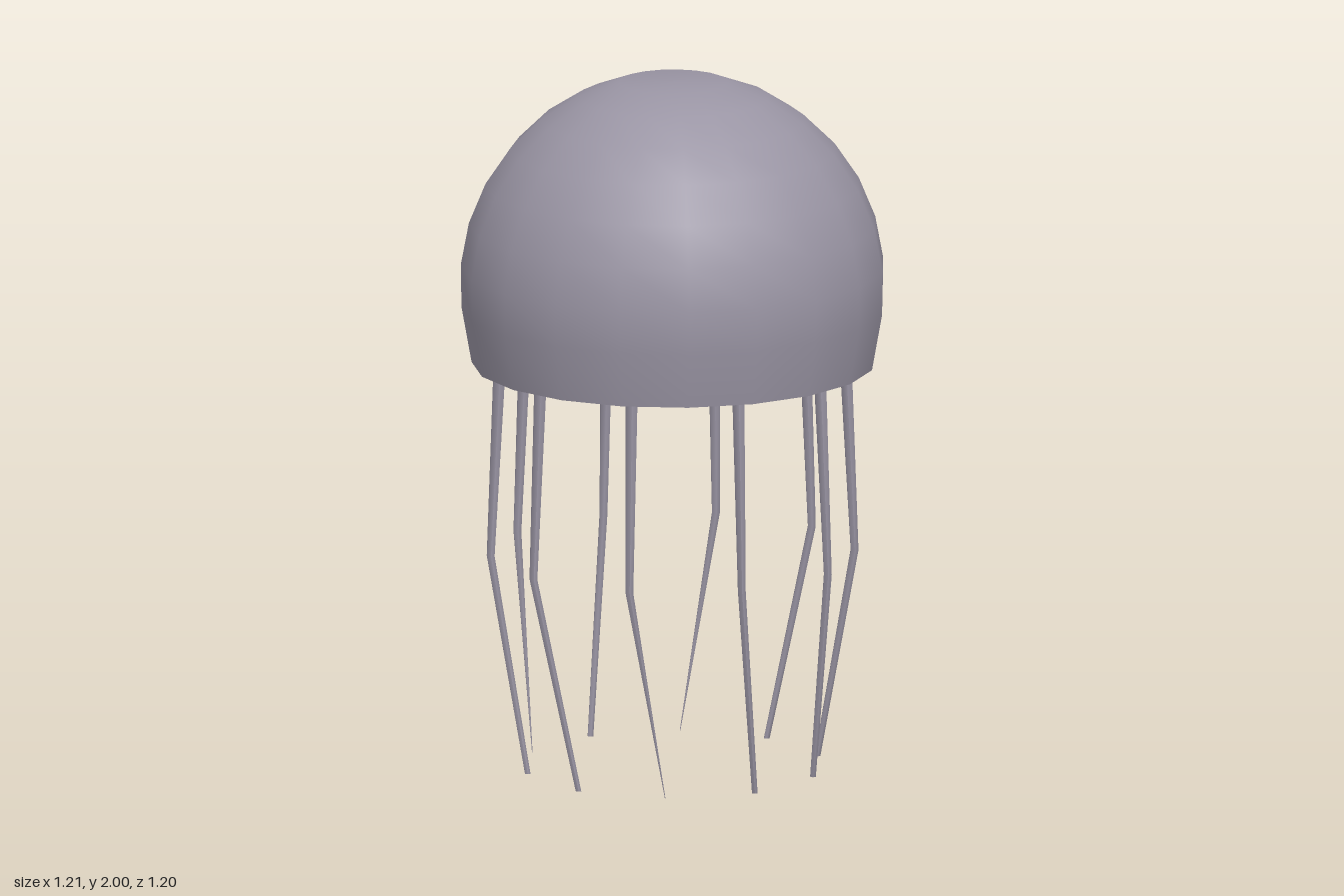
import * as THREE from 'three';

const SIDES = 19;
const AXIS_X = -0.006;

function lathe(name, points, material) {
  const geometry = new THREE.LatheGeometry(points.map(([r, y]) => new THREE.Vector2(r, y)), SIDES);
  const mesh = new THREE.Mesh(geometry, material);
  mesh.name = name;
  mesh.position.x = AXIS_X;
  return mesh;
}

// Tapered tube bent once: each section is [x, y, z, radius], listed from the tip upwards.
function bentTube(sections) {
  const geometry = new THREE.CylinderGeometry(1, 1, 2, 6, 2);
  const p = geometry.attributes.position;
  for (let i = 0; i < p.count; i++) {
    const [x, y, z, r] = sections[Math.round(p.getY(i)) + 1];
    p.setXYZ(i, x + p.getX(i) * r, y, z + p.getZ(i) * r);
  }
  geometry.computeVertexNormals();
  return geometry;
}

export function createModel() {
  const model = new THREE.Group();
  model.name = 'jellyfish';
  const skin = new THREE.MeshStandardMaterial({ color: 0x9a95a4 });
  skin.name = 'greyViolet';

  // Bell: a coarse sphere with a nearly upright skirt below and a slightly flattened top
  const radius = 0.608, centreY = 1.41, topY = 2;
  const rim = [0.575, 1.177];
  const start = -0.12, end = Math.asin((topY - 0.002 - centreY) / radius);
  const profile = [rim];
  for (let i = 0; i <= 7; i++) {
    const a = start + (end - start) * i / 7;
    profile.push([radius * Math.cos(a), centreY + radius * Math.sin(a)]);
  }
  profile.push([0, topY]);
  model.add(lathe('bell', profile, skin));

  // Underside: a flat bulge level with the rim, and a narrow groove around it
  const groove = [0.563, 1.256];
  model.add(lathe('bellUnderside', [[0, 1.18], [0.28, 1.184], [0.44, 1.206], groove], skin));
  model.add(lathe('bellInnerWall', [groove, rim], skin));

  // Ten tentacles, bowed outwards and then swept sideways; three end in a point
  const tentacles = new THREE.Group();
  tentacles.name = 'tentacles';
  const pointed = [3, 6, 8];
  const at = (r, angle, y, thickness) =>
    [r * Math.cos(angle) - 0.008, y, r * Math.sin(angle), thickness];
  for (let k = 0; k < 10; k++) {
    const angle = k * Math.PI / 5;
    const geometry = bentTube([
      at(0.428, angle - 0.19, 0, pointed.includes(k) ? 0.001 : 0.009),
      at(0.52, angle, 0.62, 0.0125),
      at(0.495, angle, 1.165, 0.019),
    ]);
    const tentacle = new THREE.Mesh(geometry, skin);
    tentacle.name = 'tentacle' + (k + 1);
    tentacles.add(tentacle);
  }
  model.add(tentacles);
  return model;
}
